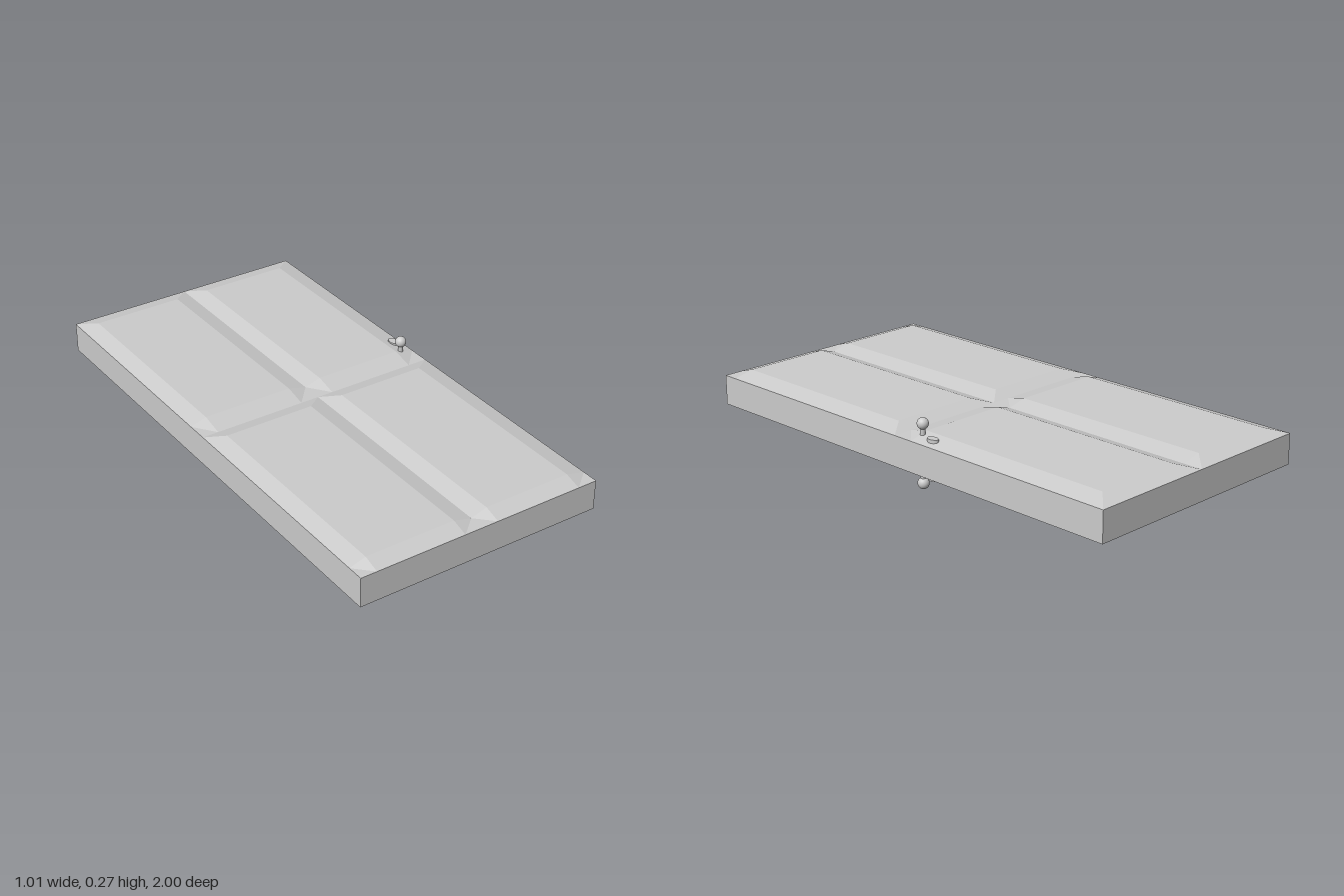
import * as THREE from 'three';

const MID = 0.138;                                          // mid-height of the slab
const XS = [-0.505, -0.44, -0.075, 0, 0.065, 0.425, 0.505]; // edge, panel, groove, panel, edge
const ZS = [-1, -0.925, -0.085, 0, 0.065, 0.935, 1];

const makeMaterial = (flat) => new THREE.MeshStandardMaterial({ color: 0xcccccc, flatShading: flat });

// Slab with four raised bevelled panels on each face
function slabGeometry() {
  const pos = [];
  const tri = (a, b, c) => pos.push(...a, ...b, ...c);
  const point = (i, j, side) => {
    const raised = i % 3 !== 0 && j % 3 !== 0;
    return [XS[i], MID - 0.006 * XS[i] + side * (raised ? 0.08 : 0.06), ZS[j]];
  };

  // Panelled faces, top and bottom
  for (const side of [1, -1]) {
    const face = (a, b, c) => (side > 0 ? tri(a, b, c) : tri(a, c, b));
    for (let i = 0; i < 6; i++) {
      for (let j = 0; j < 6; j++) {
        const a = point(i, j, side), b = point(i + 1, j, side);
        const c = point(i, j + 1, side), d = point(i + 1, j + 1, side);
        if (i % 3 === 0) { face(a, c, d); face(a, d, b); }
        else { face(a, c, b); face(b, c, d); }
      }
    }
  }

  // Four edge walls, corners running round the outline
  const corners = [[0, 6], [6, 6], [6, 0], [0, 0]];
  corners.forEach((p, k) => {
    const q = corners[(k + 1) % 4];
    const a = point(...p, -1), b = point(...q, -1), c = point(...q, 1), d = point(...p, 1);
    tri(a, b, c);
    tri(a, c, d);
  });

  const geometry = new THREE.BufferGeometry();
  geometry.setAttribute('position', new THREE.Float32BufferAttribute(pos, 3));
  geometry.computeVertexNormals();
  return geometry;
}

// Knob and lock plate for one face of the door
function handleSet(side) {
  const set = new THREE.Group();
  set.name = side > 0 ? 'topHandle' : 'bottomHandle';
  const smooth = makeMaterial(false);
  const add = (name, geometry, x, y, z) => {
    const mesh = new THREE.Mesh(geometry, smooth);
    mesh.name = name;
    mesh.position.set(x, MID - 0.002 + side * y, z);
    set.add(mesh);
    return mesh;
  };
  add('knob', new THREE.SphereGeometry(0.022, 24, 16), 0.45, 0.114, -0.09);
  add('knobStem', new THREE.CylinderGeometry(0.01, 0.01, 0.06, 16), 0.45, 0.078, -0.09);
  const plate = add('lockPlate', new THREE.CylinderGeometry(0.025, 0.025, 0.03, 24), 0.466, 0.064, -0.16);
  plate.scale.x = 0.64;
  return set;
}

export function createModel() {
  const model = new THREE.Group();
  model.name = 'door';
  const slab = new THREE.Mesh(slabGeometry(), makeMaterial(true));
  slab.name = 'doorSlab';
  model.add(slab, handleSet(1), handleSet(-1));
  return model;
}
